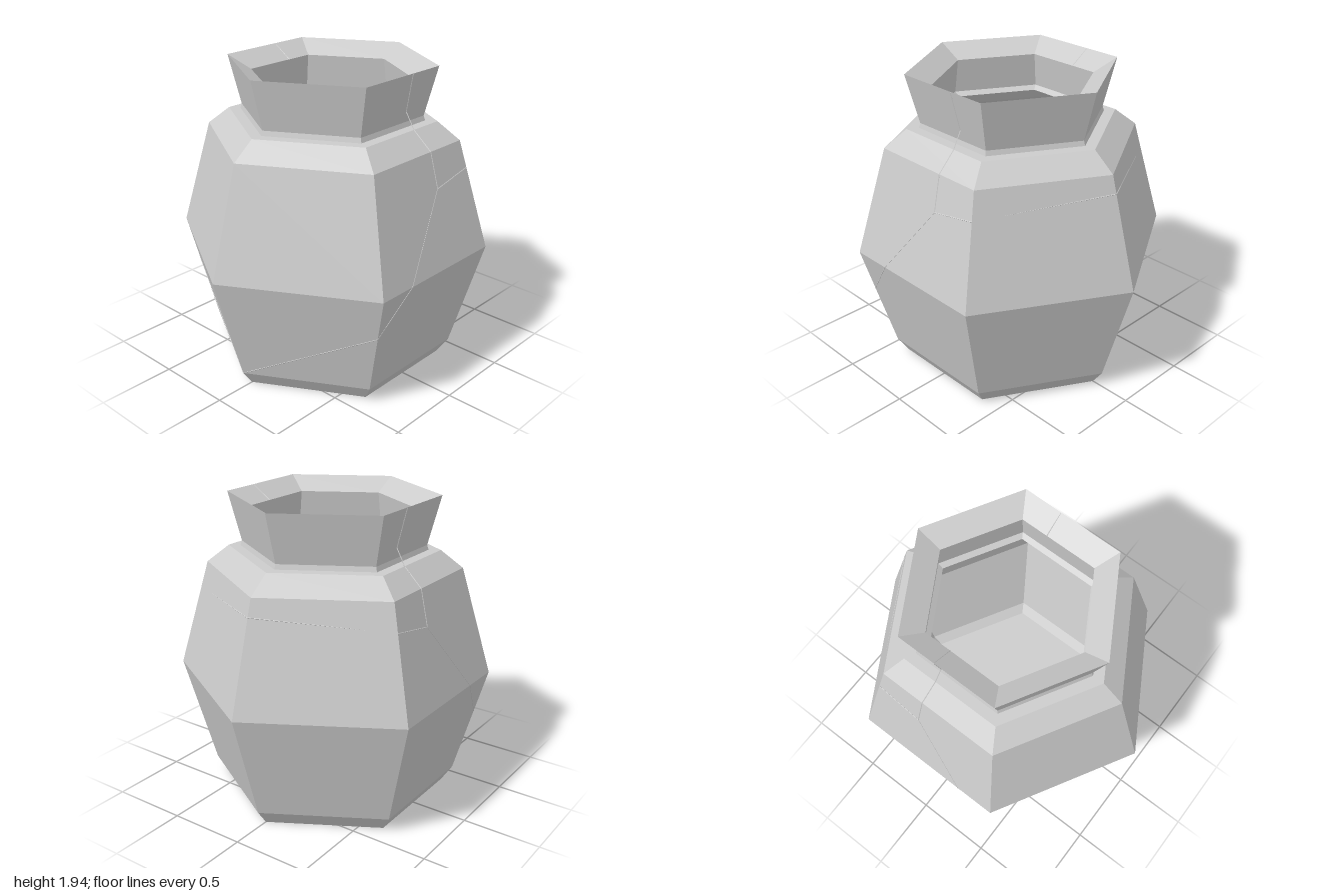
import * as THREE from 'three';

const material = () => new THREE.MeshStandardMaterial({ color: 0xcccccc, flatShading: true });

// Six-sided shell turned from [radius, height] points, with corners on the z axis
function hexLathe(name, points) {
  const profile = points.map(([r, y]) => new THREE.Vector2(r, y));
  const mesh = new THREE.Mesh(new THREE.LatheGeometry(profile, 6), material());
  mesh.name = name;
  return mesh;
}

// Very thin cord that follows straight segments
function cord(name, points) {
  const path = new THREE.CurvePath();
  const v = points.map((p) => new THREE.Vector3(...p));
  for (let i = 1; i < v.length; i++) path.add(new THREE.LineCurve3(v[i - 1], v[i]));
  const mesh = new THREE.Mesh(new THREE.TubeGeometry(path, 160, 0.003, 4), material());
  mesh.name = name;
  return mesh;
}

export function createModel() {
  const model = new THREE.Group();
  model.name = 'hexagonalPot';

  // Outer wall: foot, belly, shoulder, and flared neck
  model.add(hexLathe('outerWall', [
    [0, 0], [0.73, 0], [0.8, 0.1], [1, 0.8], [0.8, 1.49], [0.66, 1.6],
    [0.585, 1.6], [0.575, 1.63], [0.655, 1.94],
  ]));

  // Inner wall: sloped lip, throat with a small ledge, hollow belly and floor
  model.add(hexLathe('innerWall', [
    [0.655, 1.94], [0.505, 1.855], [0.54, 1.635], [0.507, 1.61], [0.6, 1.53],
    [0.72, 1.45], [0.9, 0.8], [0.72, 0.16], [0.66, 0.1], [0, 0.1],
  ]));

  // Cords from the front foot and the back shoulder meet on each side and rise over the lip
  for (const s of [1, -1]) {
    const side = new THREE.Group();
    side.name = s > 0 ? 'leftCords' : 'rightCords';
    const knot = [s * 0.748, 1.27, -0.12];
    side.add(cord('frontCord', [
      [0, 0.1, 0.8], [s * 0.797, 0.52, 0.46], [s * 0.866, 0.8, 0.24], knot,
    ]));
    side.add(cord('backCord', [knot, [s * 0.736, 1.32, -0.42], [0, 1.38, -0.832]]));
    side.add(cord('neckCord', [
      knot, [s * 0.693, 1.49, -0.11], [s * 0.572, 1.6, -0.1],
      [s * 0.514, 1.7, -0.095], [s * 0.567, 1.938, -0.08], [s * 0.437, 1.855, -0.08],
    ]));
    model.add(side);
  }
  return model;
}
